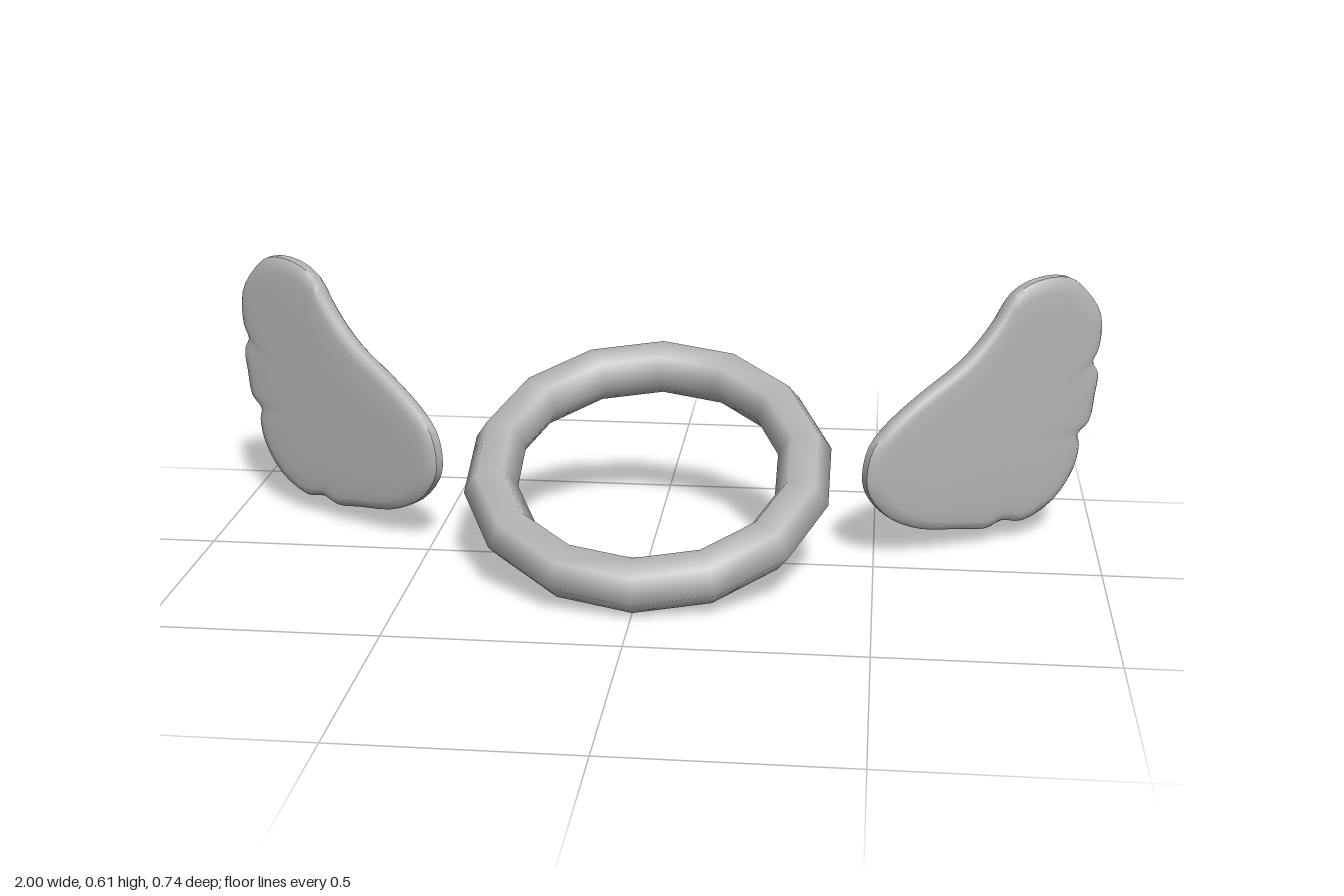
import * as THREE from 'three';
import { toCreasedNormals } from 'three/addons/utils/BufferGeometryUtils.js';

// Wing outline (x, y), anticlockwise from the inner root
const OUTLINE = [
  [.475, .2], [.484, .155], [.53, .096], [.6, .06], [.685, .046], [.745, .037], [.782, .05], [.83, .042],
  [.9, .08], [.945, .15], [.955, .205], [.95, .233], [.976, .262], [.985, .32], [.99, .37], [.976, .402],
  [.99, .44], [.988, .51], [.955, .565], [.91, .604], [.84, .604], [.79, .578], [.76, .53], [.73, .487],
  [.68, .433], [.6, .375], [.53, .318], [.488, .265],
];
// Section from the front centre over the rim to the back centre: [scale, offset]
const SECTION = [
  [0, .026], [.3, .026], [.6, .025], [.8, .024], [.9, .022], [.97, .019], [1, .011], [1, -.011], [.97, -.019],
  [.92, -.022], [.84, -.024], [.74, -.025], [.62, -.026], [.5, -.026], [.36, -.026], [.2, -.026], [0, -.026],
];
// Feather grooves on the back: [edge x, edge y, inner x, inner y]
const GROOVES = [[.985, .402, .66, .3], [.96, .233, .66, .16], [.782, .045, .7, .12]];
const CENTRE = [.77, .25];

function grooveDepth(x, y) {
  let depth = 0;
  for (const [ax, ay, bx, by] of GROOVES) {
    const dx = bx - ax, dy = by - ay;
    const f = THREE.MathUtils.clamp(((x - ax) * dx + (y - ay) * dy) / (dx * dx + dy * dy), 0, 1);
    const d = Math.hypot(x - ax - f * dx, y - ay - f * dy);
    depth = Math.max(depth, .015 * (1 - f) * Math.exp(-((d / .025) ** 2)));
  }
  return depth;
}

function wingGeometry(side) {
  const curve = new THREE.CatmullRomCurve3(OUTLINE.map(([x, y]) => new THREE.Vector3(x, y, 0)), true);
  const n = 84;
  const edge = curve.getPoints(n).slice(0, n);
  const positions = [], index = [];
  SECTION.forEach(([k, offset]) => {
    for (const p of edge) {
      const x = CENTRE[0] + (p.x - CENTRE[0]) * k;
      const y = CENTRE[1] + (p.y - CENTRE[1]) * k;
      const t = offset < -.015 ? offset + grooveDepth(x, y) : offset;
      // the wing plane sweeps back by 30 degrees
      positions.push(side * (x + t * .5), y, -.035 - (x - .49) * .577 + t * .866);
    }
  });
  const tri = (a, b, c) => (side > 0 ? index.push(a, b, c) : index.push(a, c, b));
  const last = SECTION.length - 2;
  for (let j = 0; j <= last; j++) {
    for (let i = 0; i < n; i++) {
      const i2 = (i + 1) % n;
      const a = j * n + i, b = a + n, c = (j + 1) * n + i2, d = j * n + i2;
      if (j < last) tri(a, b, c);
      if (j > 0) tri(a, j < last ? c : b, d);
    }
  }
  const g = new THREE.BufferGeometry();
  g.setAttribute('position', new THREE.Float32BufferAttribute(positions, 3));
  g.setIndex(index);
  return toCreasedNormals(g, 0.8);
}

export function createModel() {
  const group = new THREE.Group();
  const grey = new THREE.MeshStandardMaterial({ color: 0xb4b4b4 });
  grey.name = 'plain grey';
  const add = (name, geometry) => {
    const mesh = new THREE.Mesh(geometry, grey);
    mesh.name = name;
    group.add(mesh);
    return mesh;
  };

  // Tilted halo ring, lower at the front
  const ring = new THREE.TorusGeometry(.35, .06, 6, 14);
  ring.rotateZ(Math.PI / 2);
  ring.rotateX(-Math.PI / 2 + THREE.MathUtils.degToRad(25));
  add('haloRing', ring).position.y = .207;

  // Pair of feathered wings
  add('leftWing', wingGeometry(1));
  add('rightWing', wingGeometry(-1));
  return group;
}
